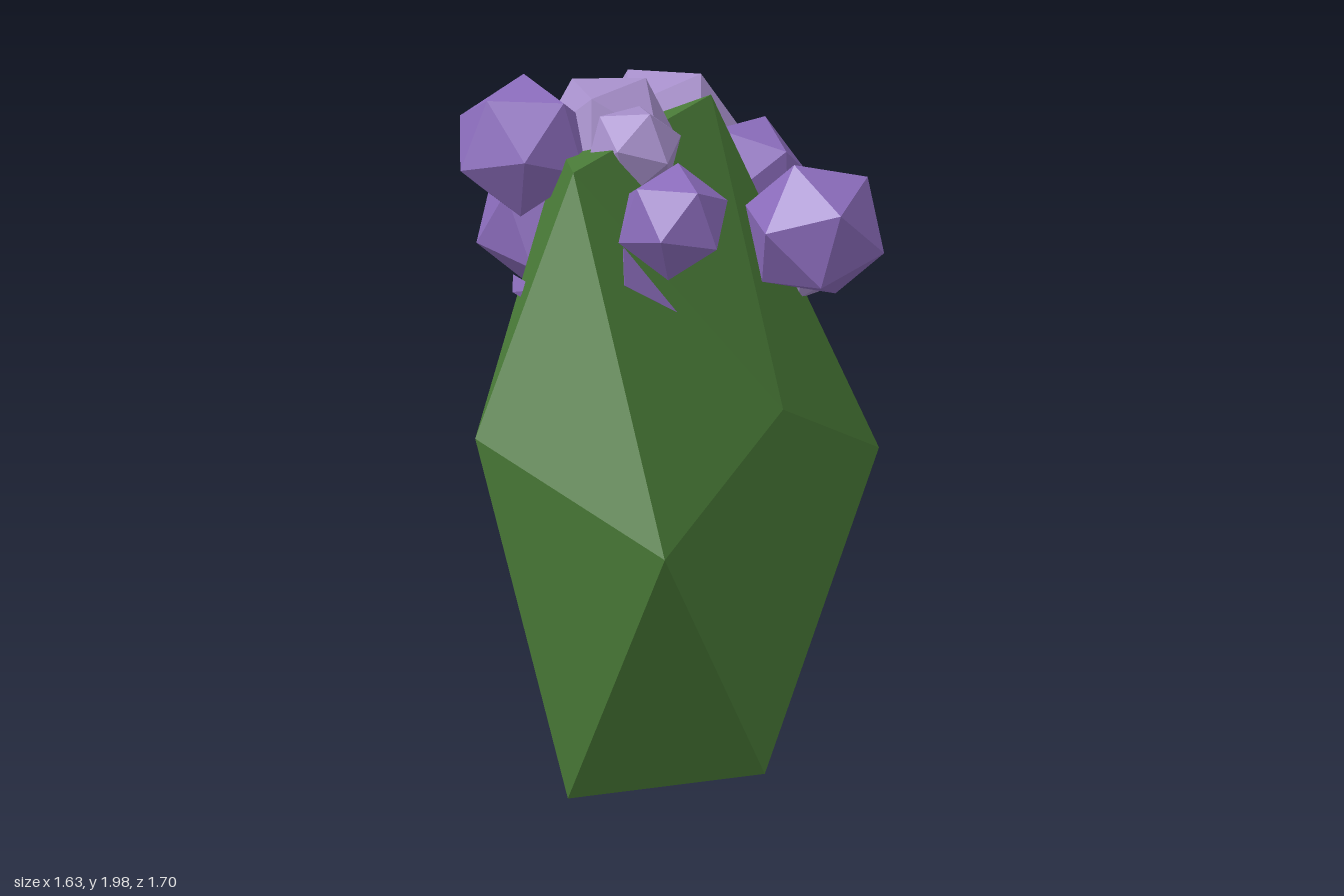
import * as THREE from 'three';
import { ConvexGeometry } from 'three/addons/geometries/ConvexGeometry.js';

const material = (name, color) => {
  const m = new THREE.MeshStandardMaterial({ color, flatShading: true });
  m.name = name;
  return m;
};
const hull = (points) => new ConvexGeometry(points.map((p) => new THREE.Vector3(...p)));

export function createModel() {
  const green = material('leaf green', 0x4a7c38);
  const purple = material('purple', 0x8c6dbd);
  const lilac = material('lilac', 0xa68fca);

  const group = new THREE.Group();
  group.name = 'floweringBush';
  const add = (name, geometry, mat) => {
    const mesh = new THREE.Mesh(geometry, mat);
    mesh.name = name;
    group.add(mesh);
    return mesh;
  };

  // Faceted bush: a flattened, irregular twelve-cornered body
  add('bushBody', hull([
    [-0.49, 1.84, 0.31], [0.42, 1.80, -0.33], [-0.13, 1.73, -0.29],
    [-0.81, 1.09, 0.28], [-0.51, 0.80, 0.81], [0.13, 1.08, 0.47],
    [0.80, 0.76, -0.03], [0.40, 1.26, -0.57], [-0.25, 0.77, -0.38],
    [-0.61, 0.03, 0.46], [0.08, 0.00, 0.45], [0.21, 0.20, -0.39],
  ]), green);

  // Blossoms: x, y, z, radius, material
  const blossoms = [
    [0.48, 1.58, -0.65, 0.24, lilac],
    [0.59, 1.50, -0.42, 0.20, purple],
    [0.655, 1.345, -0.21, 0.17, lilac],
    [0.24, 1.60, 0.47, 0.215, purple],
    [-0.38, 1.755, 0.66, 0.17, purple],
    [-0.115, 1.795, 0.065, 0.145, lilac],
    [-0.05, 1.77, -0.16, 0.21, lilac],
    [-0.33, 1.79, -0.19, 0.21, purple],
    [-0.13, 1.51, -0.35, 0.22, purple],
    [0.11, 1.28, -0.46, 0.155, lilac],
  ];
  blossoms.forEach(([x, y, z, r, mat], i) => {
    const b = add('blossom' + (i + 1), new THREE.IcosahedronGeometry(r, 0), mat);
    b.position.set(x, y, z);
    b.rotation.set(0.4 + i * 1.3, i * 2.1, 0.3 + i * 0.7);
  });

  // Petal tips of blossoms buried in the bush
  const tips = [
    [[-0.37, 1.62, 0.39], [-0.40, 1.52, 0.44], [-0.21, 1.41, 0.43], [-0.36, 1.50, 0.36]],
    [[0.20, 1.56, -0.02], [0.19, 1.38, 0.14], [0.34, 1.36, 0.03], [0.18, 1.38, 0.00]],
    [[-0.53, 1.49, 0.06], [-0.56, 1.45, 0.10], [-0.53, 1.43, 0.11], [-0.48, 1.45, 0.12]],
  ];
  tips.forEach((points, i) => add('petalTip' + (i + 1), hull(points), purple));

  return group;
}
